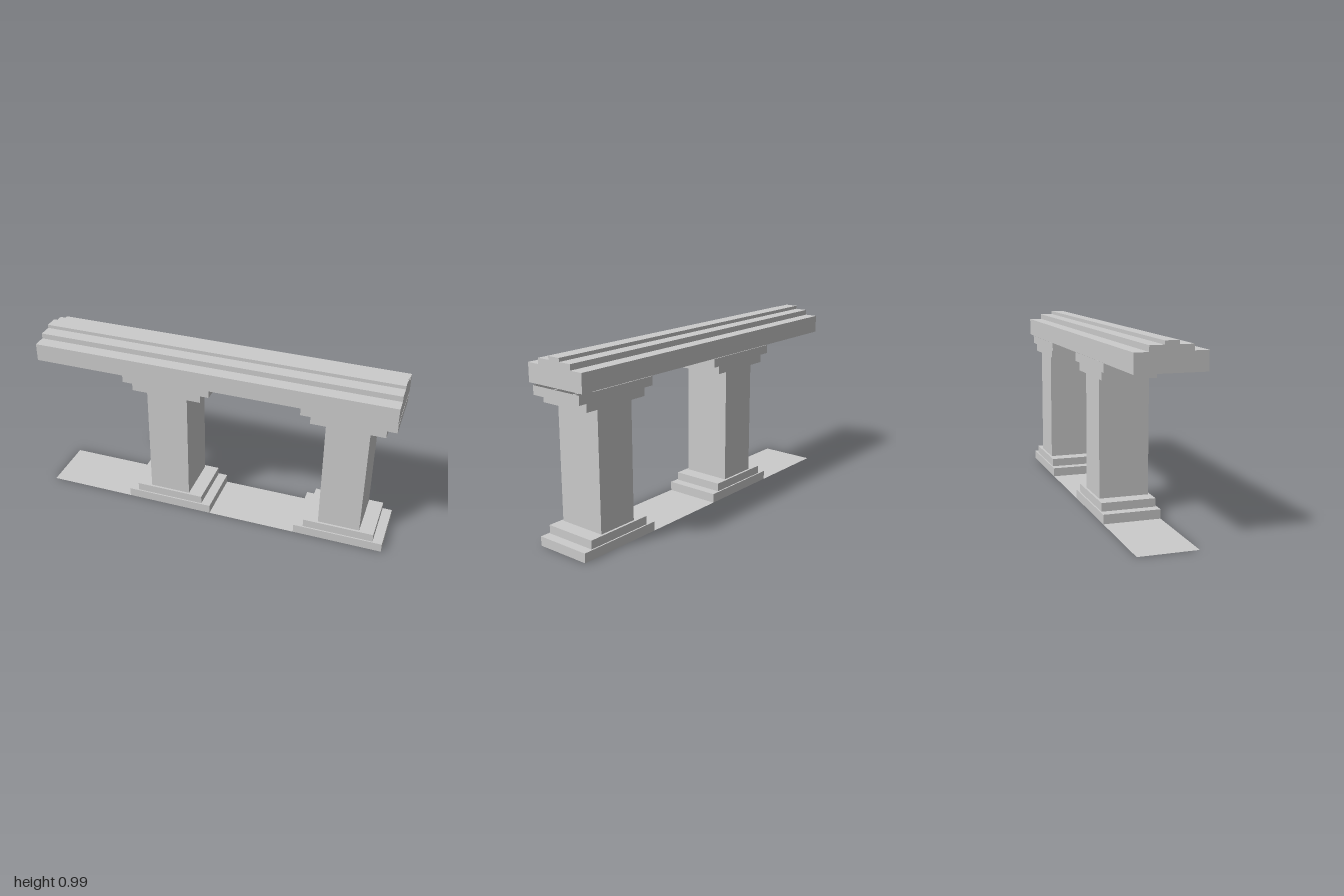
import * as THREE from 'three';

const material = new THREE.MeshStandardMaterial({ color: 0xcccccc, flatShading: true, side: THREE.DoubleSide });

// Open shell through rectangles given as [half width, half depth, height]
function rectangularShell(sections) {
  const corners = [[-1, 1], [1, 1], [1, -1], [-1, -1]];
  const point = ([w, d, y], i) => [corners[i % 4][0] * w, y, corners[i % 4][1] * d];
  const positions = [];
  for (let s = 0; s < sections.length - 1; s++) {
    for (let i = 0; i < 4; i++) {
      const a = point(sections[s], i), b = point(sections[s], i + 1);
      const c = point(sections[s + 1], i + 1), d = point(sections[s + 1], i);
      positions.push(...a, ...b, ...c, ...a, ...c, ...d);
    }
  }
  const geometry = new THREE.BufferGeometry();
  geometry.setAttribute('position', new THREE.Float32BufferAttribute(positions, 3));
  geometry.computeVertexNormals();
  return geometry;
}

function addMesh(parent, name, geometry, x, y, z) {
  const mesh = new THREE.Mesh(geometry, material);
  mesh.name = name;
  mesh.position.set(x, y, z);
  parent.add(mesh);
  return mesh;
}

export function createModel() {
  const model = new THREE.Group();
  model.name = 'colonnadeSection';
  const zCentre = -0.0025;

  // Hollow stepped base, shaft and stepped capital
  const outer = [0.25, 0.1575], inner = [0.197, 0.1495], shaft = [0.116, 0.1365];
  const base = rectangularShell([[...outer, 0], [...outer, 0.051], [...inner, 0.051], [...inner, 0.097], [...shaft, 0.097]]);
  const column = rectangularShell([[...shaft, 0.097], [...shaft, 0.738]]);
  const capital = rectangularShell([[...shaft, 0.738], [...inner, 0.738], [...inner, 0.784], [...outer, 0.784], [...outer, 0.832]]);

  // Each bay has a pier and a strip of paving beside it
  const paving = new THREE.PlaneGeometry(0.5, 0.315).rotateX(-Math.PI / 2);
  for (const x of [-0.25, 0.75]) {
    const pier = new THREE.Group();
    pier.name = 'pier';
    pier.position.set(x, 0, zCentre);
    addMesh(pier, 'base', base, 0, 0, 0);
    addMesh(pier, 'shaft', column, 0, 0, 0);
    addMesh(pier, 'capital', capital, 0, 0, 0);
    model.add(pier);
    addMesh(model, 'paving', paving, x - 0.5, 0, zCentre);
  }

  // Stepped beam: half profile mirrored, extruded along x
  const half = [[0.182, 0.842], [0.182, 0.941], [0.109, 0.941], [0.109, 0.971], [0.036, 0.971], [0.036, 0.99]];
  const outline = [...half, ...half.map(([z, y]) => [-z, y]).reverse()];
  const profile = new THREE.Shape(outline.map(([z, y]) => new THREE.Vector2(z, y)));
  const beam = new THREE.ExtrudeGeometry(profile, { depth: 2, bevelEnabled: false });
  beam.translate(0, 0, -1).rotateY(Math.PI / 2);
  addMesh(model, 'beam', beam, 0, 0, 0);

  return model;
}
